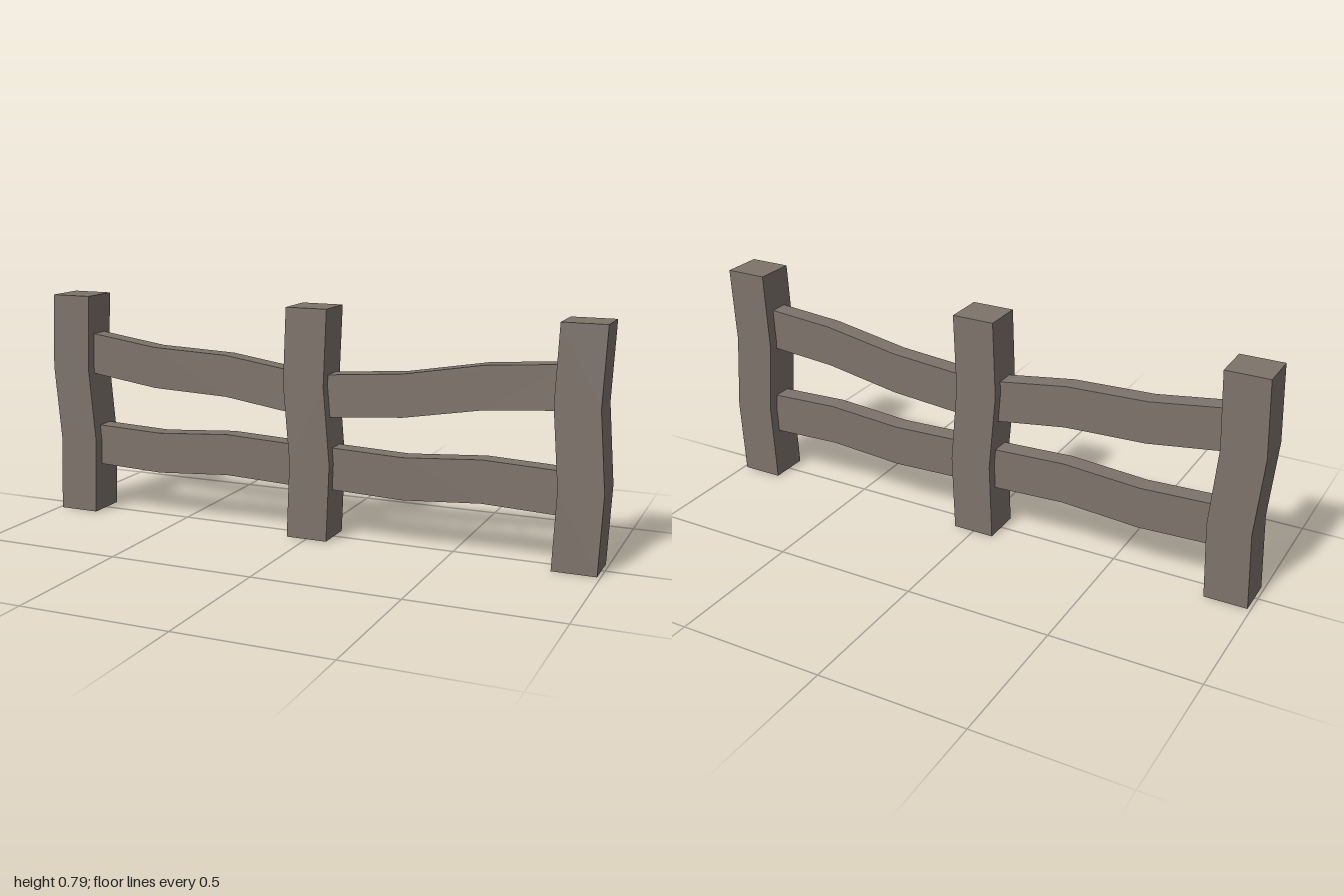
import * as THREE from 'three';

// Solid slab from a front outline, centred on z = 0
function slab(points, depth, material, name) {
  const shape = new THREE.Shape(points.map(([x, y]) => new THREE.Vector2(x, y)));
  const geometry = new THREE.ExtrudeGeometry(shape, { depth, bevelEnabled: false });
  geometry.translate(0, 0, -depth / 2);
  const mesh = new THREE.Mesh(geometry, material);
  mesh.name = name;
  return mesh;
}

export function createModel() {
  const fence = new THREE.Group();
  fence.name = 'fence';
  const wood = new THREE.MeshStandardMaterial({ color: 0x7d736b });
  wood.name = 'weatheredWood';

  // Posts: square timbers that sway right, then left, on the way up
  const half = 0.073;
  const sway = [[0, 0], [0.011, 0.265], [-0.011, 0.53], [0, 0.79]];
  for (const [name, x] of [['rightPost', -0.916], ['middlePost', 0], ['leftPost', 0.916]]) {
    const outline = [
      ...sway.map(([dx, y]) => [x + dx + half, y]),
      ...[...sway].reverse().map(([dx, y]) => [x + dx - half, y]),
    ];
    fence.add(slab(outline, 0.14, wood, name));
  }

  // Rails: wavy planks given by their centre lines, ends set into the posts
  const thick = 0.0725;
  const rails = {
    upperRightRail: [[-0.865, 0.582], [-0.6, 0.545], [-0.32, 0.535], [-0.05, 0.496]],
    upperLeftRail: [[0.05, 0.493], [0.33, 0.516], [0.6, 0.563], [0.865, 0.583]],
    lowerRightRail: [[-0.865, 0.247], [-0.59, 0.237], [-0.32, 0.256], [-0.05, 0.245]],
    lowerLeftRail: [[0.05, 0.247], [0.33, 0.237], [0.6, 0.256], [0.865, 0.245]],
  };
  for (const [name, line] of Object.entries(rails)) {
    const outline = [
      ...line.map(([x, y]) => [x, y - thick]),
      ...[...line].reverse().map(([x, y]) => [x, y + thick]),
    ];
    fence.add(slab(outline, 0.066, wood, name));
  }
  return fence;
}
